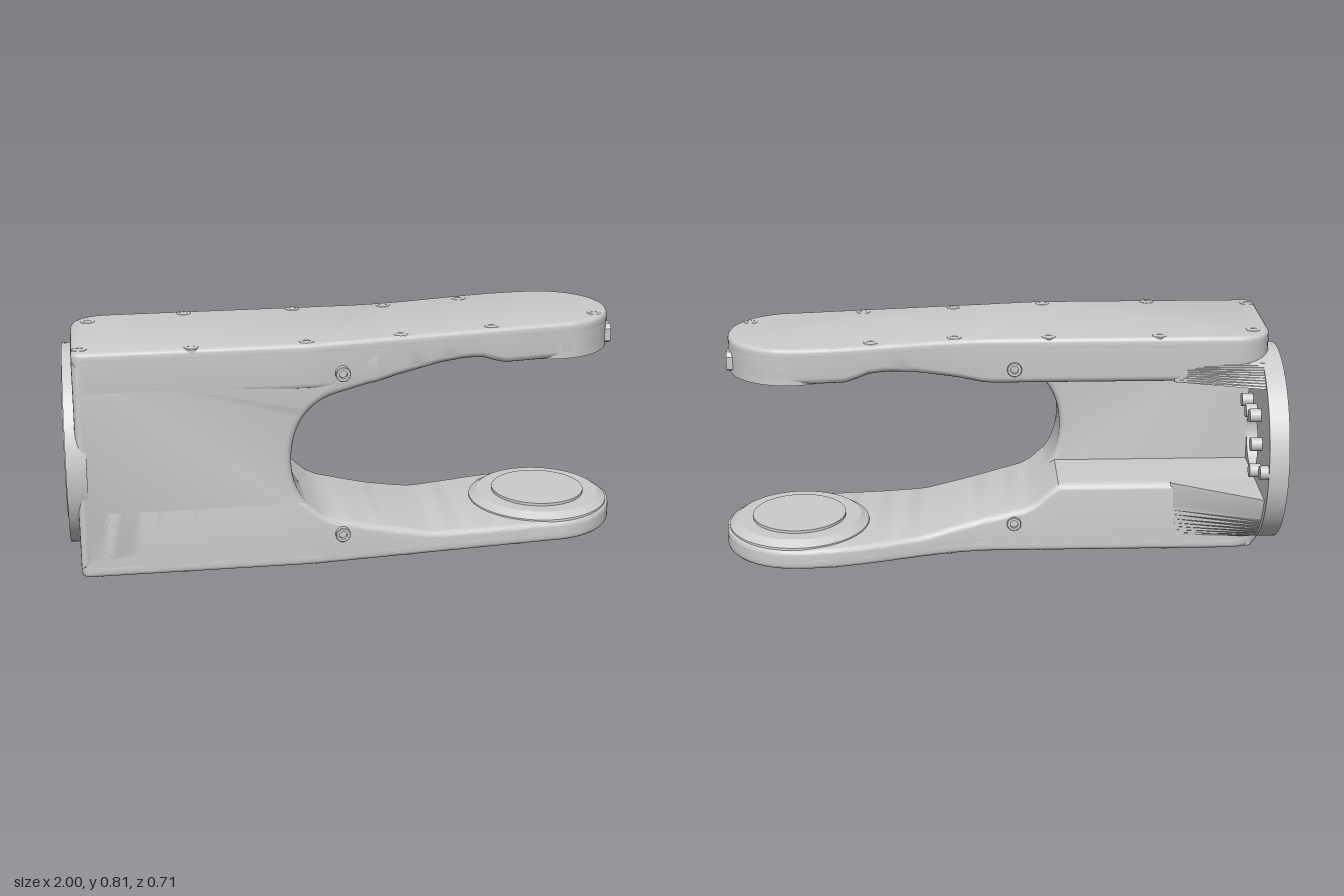
import * as THREE from 'three';
import { toCreasedNormals } from 'three/addons/utils/BufferGeometryUtils.js';

const MAT = new THREE.MeshStandardMaterial({ color: 0xcccccc });
const TOP = 0.81, END = 0.735, AXIS = 0.38, FRONT = 0.345, BACK = -0.13, LEFT = -0.96;
const R_LOW = 0.265, R_UP = 0.225;

function lerpTable(table, x) {
  if (x <= table[0][0]) return table[0][1];
  for (let i = 1; i < table.length; i++) {
    const [x0, y0] = table[i - 1], [x1, y1] = table[i];
    if (x <= x1) return y0 + (y1 - y0) * (x - x0) / (x1 - x0);
  }
  return table[table.length - 1][1];
}

// Plan outline of an arm whose rounded end has radius r
const endCircle = (x, r) => Math.sqrt(Math.max(0, r * r - (x - END) ** 2));
const corner = (x, q) => (x < LEFT + q ? q - Math.sqrt(Math.max(0, q * q - (LEFT + q - x) ** 2)) : 0);
function zFront(x, r) {
  if (x > END) return endCircle(x, r);
  const t = Math.max(0, (x + 0.15) / (END + 0.15));
  return FRONT + (r - FRONT) * t - corner(x, 0.03);
}
function zBack(x, r) {
  if (x > END) return -endCircle(x, r);
  return BACK - (r + BACK) * THREE.MathUtils.smoothstep(x, 0.02, END - 0.03) + corner(x, 0.12);
}
function stations(r) {
  const xs = [0, 0.003, 0.01, 0.02, 0.03, 0.05, 0.08, 0.12].map(d => LEFT + d);
  for (let i = 1; i <= 40; i++) xs.push(-0.84 + (END + 0.84) * i / 40);
  for (let i = 1; i <= 16; i++) xs.push(END + r * Math.sin(i * Math.PI / 32));
  return xs;
}

// Arm: rectangular sections with rounded inner edges; the upper one is flipped in y
function armGeometry(r, thickness, upper) {
  const pos = [], idx = [], xs = stations(r), base = 0.03, A = 5;
  const n = 2 + 2 * (A + 1);
  for (const x of xs) {
    const zb = zBack(x, r), zf = zFront(x, r), h = lerpTable(thickness, x);
    const q = Math.min(0.025, (h - base) * 0.45, (zf - zb) * 0.45);
    const loop = [[zb, base], [zf, base]];
    for (let k = 0; k <= A; k++) {
      const a = k / A * Math.PI / 2;
      loop.push([zf - q + q * Math.cos(a), h - q + q * Math.sin(a)]);
    }
    for (let k = 0; k <= A; k++) {
      const a = Math.PI / 2 + k / A * Math.PI / 2;
      loop.push([zb + q + q * Math.cos(a), h - q + q * Math.sin(a)]);
    }
    for (const [z, y] of loop) pos.push(x, upper ? TOP - y : y, z);
  }
  const tri = (a, b, c) => (upper ? idx.push(a, c, b) : idx.push(a, b, c));
  for (let i = 0; i < xs.length - 1; i++) for (let j = 0; j < n; j++) {
    const a = i * n + j, b = i * n + (j + 1) % n;
    tri(a, a + n, b + n);
    tri(a, b + n, b);
  }
  for (let j = 1; j < n - 1; j++) tri(0, j, j + 1);
  const g = new THREE.BufferGeometry();
  g.setAttribute('position', new THREE.Float32BufferAttribute(pos, 3));
  g.setIndex(idx);
  return toCreasedNormals(g, 0.6);
}

// Thin cover plate with softened edges
function coverGeometry(r, h) {
  const xs = stations(r), b = 0.014;
  const pts = xs.map(x => new THREE.Vector2(x, -zFront(x, r)));
  for (const x of xs.slice(0, -1).reverse()) pts.push(new THREE.Vector2(x, -zBack(x, r)));
  const g = new THREE.ExtrudeGeometry(new THREE.Shape(pts), {
    depth: h - 2 * b, bevelThickness: b, bevelSize: b, bevelOffset: -b, bevelSegments: 3 });
  return toCreasedNormals(g.translate(0, 0, b).rotateX(-Math.PI / 2), 0.6);
}

// Front wall joining the arms, with the rounded throat of the fork
function webGeometry() {
  const s = new THREE.Shape();
  s.moveTo(LEFT, 0.03);
  s.lineTo(0.1, 0.03);
  s.lineTo(0.1, 0.12);
  s.lineTo(-0.07, 0.162);
  s.bezierCurveTo(-0.17, 0.185, -0.228, 0.28, -0.228, 0.39);
  s.bezierCurveTo(-0.228, 0.5, -0.18, 0.6, -0.07, 0.622);
  s.lineTo(0.1, 0.66);
  s.lineTo(0.1, 0.78);
  s.lineTo(LEFT, 0.78);
  const b = 0.025, back = 0.115;
  const g = new THREE.ExtrudeGeometry(s, { depth: FRONT - back - 2 * b, curveSegments: 16,
    bevelThickness: b, bevelSize: b, bevelOffset: -b, bevelSegments: 4 });
  g.translate(0, 0, back + b);
  const p = g.attributes.position;
  for (let i = 0; i < p.count; i++) {
    const x = p.getX(i);
    if (p.getZ(i) > 0.2 && x > -0.15) p.setZ(i, p.getZ(i) - (FRONT - zFront(x, R_UP)));
  }
  return toCreasedNormals(g, 0.6);
}

// Flat ring across the x axis, starting at x
function ringGeometry(outer, inner, x, depth) {
  const s = new THREE.Shape().absarc(0, 0, outer, 0, Math.PI * 2);
  s.holes.push(new THREE.Path().absarc(0, 0, inner, 0, Math.PI * 2, true));
  const g = new THREE.ExtrudeGeometry(s, { depth, bevelEnabled: false, curveSegments: 48 });
  return toCreasedNormals(g.rotateY(Math.PI / 2).translate(x, AXIS, 0), 0.6);
}

// Sloping rib running from the flange rim down to the back of an arm
function gussetGeometry(inner, side) {
  const R = 0.355, a0 = Math.asin(inner / R), a1 = Math.acos(0.05 / R), pts = [[0.05, inner]];
  for (let i = 0; i <= 16; i++) {
    const a = a0 + (a1 - a0) * i / 16;
    pts.push([R * Math.cos(a), R * Math.sin(a)]);
  }
  const s = new THREE.Shape(pts.map(([x, y]) => new THREE.Vector2(x, y * side)));
  const g = new THREE.ExtrudeGeometry(s, { depth: 0.38, bevelEnabled: false });
  const p = g.attributes.position;
  for (let i = 0; i < p.count; i++) if (p.getZ(i) > 0.2) p.setX(i, Math.min(p.getX(i), 0.125));
  return toCreasedNormals(g.rotateY(Math.PI / 2).translate(-0.995, AXIS, 0), 0.6);
}

function lathe(points, segments = 64) {
  const g = new THREE.LatheGeometry(points.map(([x, y]) => new THREE.Vector2(x, y)), segments);
  return toCreasedNormals(g, 0.5);
}

export function createModel() {
  const model = new THREE.Group();
  const add = (name, geometry, x = 0, y = 0, z = 0) => {
    const m = new THREE.Mesh(geometry, MAT);
    m.name = name;
    m.position.set(x, y, z);
    model.add(m);
    return m;
  };

  // Fork body
  add('lowerArm', armGeometry(R_LOW, [[-0.2, 0.26], [-0.15, 0.2], [-0.1, 0.17], [0.1, 0.12],
    [0.28, 0.08], [0.45, 0.075]], false));
  add('upperArm', armGeometry(R_UP, [[0.05, 0.165], [0.15, 0.14], [0.3, 0.11], [0.4, 0.1],
    [0.46, 0.105], [0.53, 0.13]], true));
  add('frontWall', webGeometry());
  add('lowerCover', coverGeometry(R_LOW, 0.05));
  add('upperCover', coverGeometry(R_UP, 0.05), 0, TOP - 0.05, 0);

  // Mounting flange
  add('flange', ringGeometry(0.355, 0.115, -0.995, 0.07));
  add('flangeFace', ringGeometry(0.27, 0.115, -1, 0.01));
  add('lowerGusset', gussetGeometry(0.12, -1));
  add('upperGusset', gussetGeometry(0.265, 1));

  // Joint pads at the arm ends
  add('lowerPad', lathe([[0.258, 0.05], [0.255, 0.08], [0.225, 0.1], [0.17, 0.1], [0.17, 0.11], [0, 0.11]]), END);
  add('upperBoss', lathe([[0, 0.677], [0.11, 0.677], [0.11, 0.68], [R_UP, 0.68], [R_UP, 0.77]]), END);

  // Flat window on the tip of the upper arm
  const w = new THREE.Shape([[-0.1, 0.7], [-0.08, 0.69], [0.08, 0.69], [0.1, 0.7], [0.1, 0.745],
    [0.085, 0.76], [-0.085, 0.76], [-0.1, 0.745]].map(([x, y]) => new THREE.Vector2(x, y)));
  add('tipWindow', new THREE.ExtrudeGeometry(w, { depth: 0.07, bevelEnabled: false }).rotateY(Math.PI / 2), 0.889);

  // Socket screws around the covers
  const screw = lathe([[0.026, -0.02], [0.026, 0.002], [0.024, 0.004], [0.014, 0.004], [0.014, -0.01], [0, -0.01]], 20);
  const upperScrews = [[-0.9, -0.04], [-0.56, -0.1], [-0.17, -0.1], [0.16, -0.1], [0.45, -0.15],
    [0.89, 0.11], [0.49, 0.22], [0.16, 0.27], [-0.17, 0.31], [-0.56, 0.32], [-0.93, 0.29]];
  for (const [x, z] of upperScrews) add('upperCoverScrew', screw, x, TOP - 0.003, z);
  for (const x of [-0.9, -0.6, -0.15, 0.19, 0.6]) {
    for (const z of [zFront(x, R_LOW) - 0.03, zBack(x, R_LOW) + 0.03]) {
      add('lowerCoverScrew', screw, x, 0.004, z).rotation.x = Math.PI;
    }
  }
  add('lowerCoverScrew', screw, 0.95, 0.004, 0.08).rotation.x = Math.PI;

  // Side screws through the arm roots
  for (const y of [0.11, 0.7]) {
    add('frontScrew', screw, -0.05, y, 0.35).rotation.x = Math.PI / 2;
    add('backScrew', screw, -0.05, y, -0.134).rotation.x = -Math.PI / 2;
  }

  // Bolt heads and locating pin on the inside of the flange
  const bolt = new THREE.CylinderGeometry(0.024, 0.024, 0.05, 24).rotateZ(Math.PI / 2);
  for (const [y, z] of [[0.52, 0.033], [0.51, -0.055], [0.52, -0.135], [0.43, -0.185], [0.33, -0.185]]) {
    add('flangeBolt', bolt, -0.91, y, z);
  }
  add('locatingPin', bolt, -0.92, AXIS, -0.33);
  return model;
}
